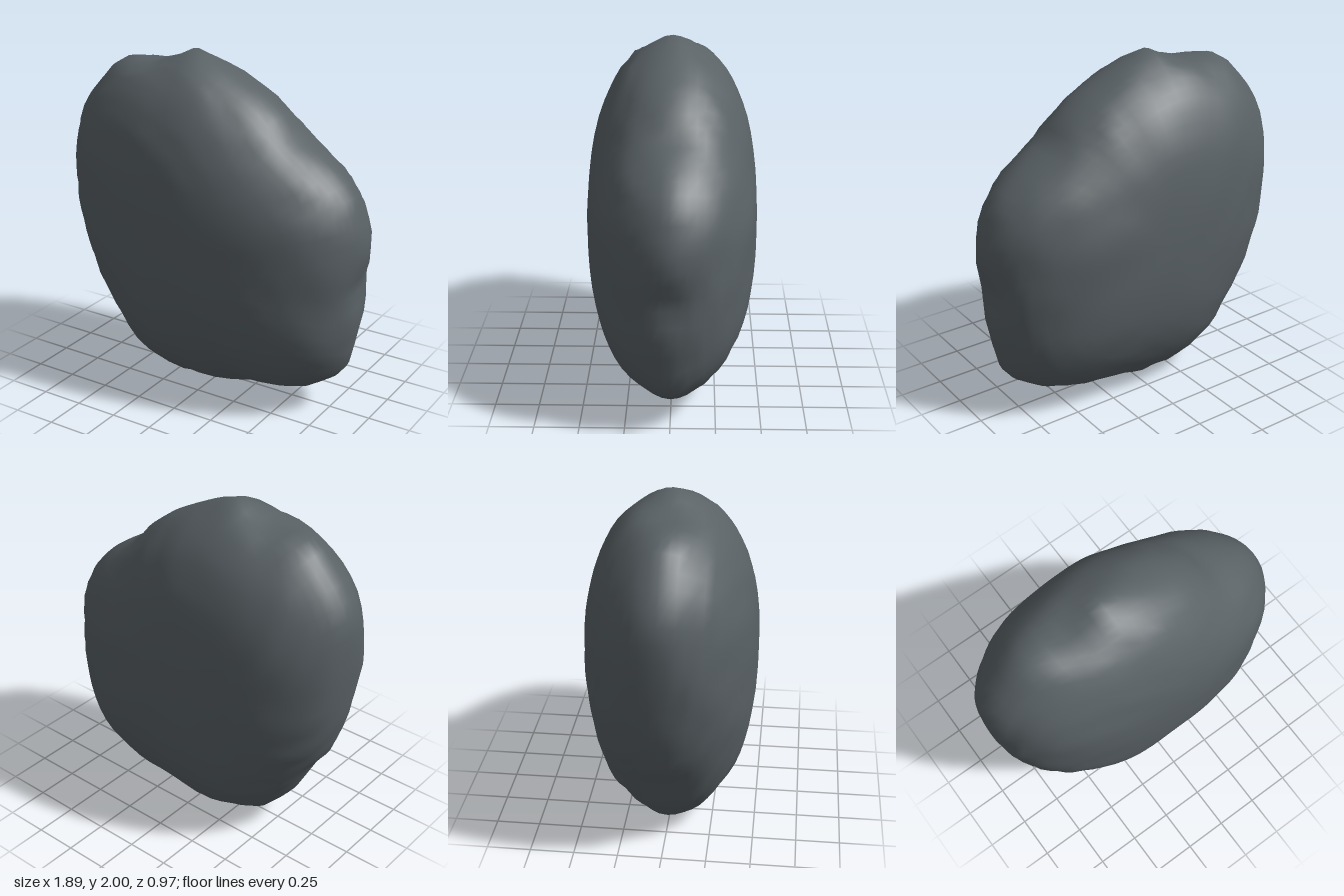
import * as THREE from 'three';
import { mergeVertices } from 'three/addons/utils/BufferGeometryUtils.js';

// Rim of the boulder seen from the front, counter-clockwise from its +x tip
const rim = [
  [0.945, 1.05], [0.90, 1.20], [0.85, 1.32], [0.75, 1.42], [0.64, 1.50], [0.50, 1.58],
  [0.40, 1.70], [0.28, 1.79], [0.13, 1.87], [0.01, 1.93], [-0.17, 2.00], [-0.27, 1.95],
  [-0.42, 1.90], [-0.60, 1.91], [-0.70, 1.86], [-0.84, 1.70], [-0.93, 1.57], [-0.95, 1.43],
  [-0.94, 1.20], [-0.90, 0.88], [-0.82, 0.62], [-0.73, 0.50], [-0.60, 0.25], [-0.42, 0.06],
  [-0.18, 0.00], [0.00, 0.04], [0.23, 0.05], [0.36, 0.11], [0.47, 0.08], [0.62, 0.11],
  [0.78, 0.21], [0.86, 0.31], [0.87, 0.43], [0.91, 0.60], [0.88, 0.80], [0.93, 0.92],
].map(([x, y]) => [x, y - 1]);

// Distance from the centre to the rim along a direction
function rimRadius(angle) {
  const dx = Math.cos(angle), dy = Math.sin(angle);
  for (let i = 0; i < rim.length; i++) {
    const a = rim[i], b = rim[(i + 1) % rim.length];
    const ca = dx * a[1] - dy * a[0], cb = dx * b[1] - dy * b[0];
    if (ca <= 0 && cb > 0 && dx * (a[0] + b[0]) + dy * (a[1] + b[1]) > 0) {
      const t = ca / (ca - cb);
      return Math.hypot(a[0] + (b[0] - a[0]) * t, a[1] + (b[1] - a[1]) * t);
    }
  }
  return 0.95;
}

// Rim distance averaged over nearby directions, for the broad faces
function softRadius(angle) {
  let sum = 0;
  for (let k = -4; k <= 4; k++) sum += rimRadius(angle + k * 0.06);
  return sum / 9;
}

// Soft lumps and finer chips, both as smooth functions of direction
const lumps = (x, y, z) =>
  Math.sin(4.1 * x + 2.3 * y + 1.7 * z) * Math.sin(3.2 * y - 2.6 * z + 0.8);
const chips = (x, y, z) =>
  Math.sin(13 * x + 7 * z + 1.1) * Math.sin(12 * y - 9 * z) + 0.6 * Math.sin(21 * (x - y) + 15 * z);

export function createModel() {
  const group = new THREE.Group();
  group.name = 'rock';
  const stone = new THREE.MeshStandardMaterial({ color: 0x596165 });
  stone.name = 'slate grey';

  // Sphere with poles front and back, flattened into a thick slab
  let geometry = new THREE.SphereGeometry(1, 72, 32).rotateX(Math.PI / 2);
  geometry.deleteAttribute('uv');
  geometry.deleteAttribute('normal');
  geometry = mergeVertices(geometry, 1e-4);
  const p = geometry.attributes.position;
  for (let i = 0; i < p.count; i++) {
    const x = p.getX(i), y = p.getY(i), z = p.getZ(i);
    const angle = Math.atan2(y, x);
    const spread = Math.pow(Math.max(0, 1 - z * z), 1 / 2.5);
    // The outline is sharp at the rim and blends to a soft one on the faces
    const blend = THREE.MathUtils.smoothstep(Math.abs(z), 0, 0.5);
    const radius = THREE.MathUtils.lerp(rimRadius(angle), softRadius(angle), blend);
    const rough = blend * spread * (0.01 * chips(x, y, z) + 0.01 * lumps(x, y, z));
    const r = radius * spread * (1 + rough);
    const depth = 0.485 * z * (1 + 0.01 * spread * chips(y, z, x));
    // Both faces bulge most a little towards -x
    p.setXYZ(i, r * Math.cos(angle) - 0.025 * z * z, 1 + r * Math.sin(angle), depth);
  }
  geometry.computeVertexNormals();

  const boulder = new THREE.Mesh(geometry, stone);
  boulder.name = 'boulder';
  group.add(boulder);
  return group;
}
